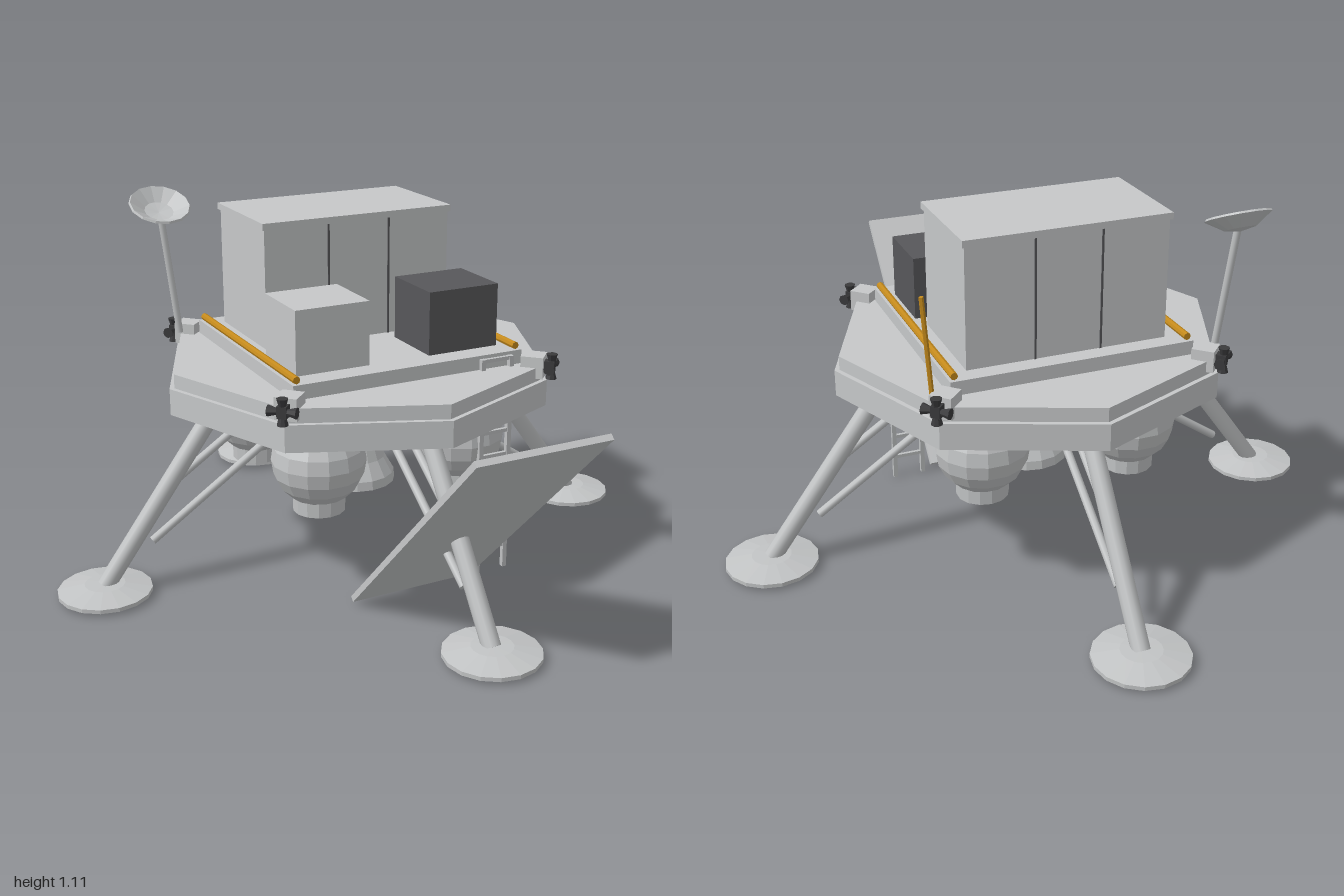
import * as THREE from 'three';

const V = (x, y, z) => new THREE.Vector3(x, y, z);
const mat = (name, color, extra = {}) =>
  new THREE.MeshStandardMaterial({ name, color, ...extra });

export function createModel() {
  const hull = mat('hullGrey', 0xc6c8c9, { flatShading: true });
  const metal = mat('metalGrey', 0xbfc1c2);
  const shell = mat('shellGrey', 0xc2c4c5, { flatShading: true, side: THREE.DoubleSide });
  const dark = mat('darkGrey', 0x57575a, { flatShading: true });
  const black = mat('thrusterBlack', 0x3a3a3c, { flatShading: true, side: THREE.DoubleSide });
  const gold = mat('gold', 0xc48a1c, { flatShading: true });

  const model = new THREE.Group();
  model.name = 'lander';
  const body = new THREE.Group(); // everything centred on the octagonal deck
  body.name = 'body';
  body.position.z = -0.035;
  model.add(body);

  const add = (parent, name, geo, material, x = 0, y = 0, z = 0) => {
    const m = new THREE.Mesh(geo, material);
    m.name = name;
    m.position.set(x, y, z);
    parent.add(m);
    return m;
  };
  // box given by its minimum and maximum on each axis
  const box = (parent, name, material, x0, x1, y0, y1, z0, z1) =>
    add(parent, name, new THREE.BoxGeometry(x1 - x0, y1 - y0, z1 - z0), material,
      (x0 + x1) / 2, (y0 + y1) / 2, (z0 + z1) / 2);
  // round bar between two points
  const bar = (parent, name, material, a, b, r, sides = 10) => {
    const m = add(parent, name, new THREE.CylinderGeometry(r, r, a.distanceTo(b), sides), material);
    m.position.copy(a).add(b).multiplyScalar(0.5);
    m.quaternion.setFromUnitVectors(V(0, 1, 0), b.clone().sub(a).normalize());
    return m;
  };
  const lathe = (pts, sides) =>
    new THREE.LatheGeometry(pts.map(([r, y]) => new THREE.Vector2(r, y)), sides);

  // Deck: two stacked octagons with corners on the axes
  add(body, 'lowerDeck', new THREE.CylinderGeometry(0.6, 0.6, 0.08, 8), hull, 0, 0.57, 0);
  add(body, 'upperDeck', new THREE.CylinderGeometry(0.585, 0.585, 0.045, 8), hull, 0, 0.63, 0);
  box(model, 'cargoPlate', hull, -0.37, 0.37, 0.65, 0.695, -0.4, 0.33);

  // Large container with lid and seams
  box(model, 'container', hull, -0.305, 0.305, 0.69, 1.055, -0.345, -0.005);
  box(model, 'containerLid', hull, -0.312, 0.312, 1.055, 1.075, -0.352, 0.002);
  for (const x of [-0.1, 0.1]) {
    box(model, 'containerSeam', dark, x - 0.003, x + 0.003, 0.695, 1.055, -0.348, -0.344);
    box(model, 'containerSeam', dark, x - 0.003, x + 0.003, 0.695, 1.055, -0.006, -0.002);
  }

  // Small cargo boxes
  box(model, 'lightCargoBox', hull, -0.33, -0.1, 0.69, 0.885, 0.05, 0.26);
  box(model, 'darkCargoBox', dark, 0.095, 0.325, 0.69, 0.885, 0.05, 0.26);

  // Gold rails beside the cargo
  for (const s of [-1, 1])
    bar(model, 'cargoRail', gold, V(s * 0.355, 0.706, -0.39), V(s * 0.355, 0.706, 0.32), 0.011, 8);

  // Four legs, each with a foot pad and two braces in its own plane
  const pad = lathe([[0, 0.01], [0.14, 0.01], [0.14, 0.022], [0.06, 0.038], [0, 0.04]], 16);
  for (let i = 0; i < 4; i++) {
    const leg = new THREE.Group();
    leg.name = 'leg';
    leg.rotation.y = i * Math.PI / 2;
    body.add(leg);
    add(leg, 'footPad', pad, shell, 0.828);
    bar(leg, 'mainStrut', metal, V(0.825, 0.03, 0), V(0.445, 0.55, 0), 0.027, 12);
    bar(leg, 'lowerBrace', metal, V(0.675, 0.143, 0), V(0.25, 0.43, 0), 0.013, 8);
    bar(leg, 'upperBrace', metal, V(0.66, 0.28, 0), V(0.27, 0.54, 0), 0.013, 8);
  }

  // Spherical tanks with open skirts, on the diagonals
  const skirt = lathe([[0.062, 0.325], [0.062, 0.255], [0.078, 0.255], [0.08, 0.325]], 14);
  for (const sx of [-1, 1]) for (const sz of [-1, 1]) {
    const tank = new THREE.Group();
    tank.name = 'tank';
    tank.position.set(sx * 0.235, 0, sz * 0.235);
    body.add(tank);
    const ball = add(tank, 'tankBall', new THREE.SphereGeometry(0.14, 14, 10), shell, 0, 0.41, 0);
    ball.scale.y = 0.97;
    add(tank, 'tankSkirt', skirt, shell);
  }

  // Main engine
  box(body, 'engineMount', hull, -0.12, 0.12, 0.47, 0.535, -0.12, 0.12);
  add(body, 'engineBell', lathe([[0.105, 0.225], [0.127, 0.222], [0.124, 0.25], [0.095, 0.3],
    [0.07, 0.37], [0.055, 0.44], [0.05, 0.48]], 16), shell);
  add(body, 'engineInside', lathe([[0.108, 0.225], [0.08, 0.3], [0, 0.36]], 16), shell);

  // Ramp leaning out from the ground
  const ramp = add(model, 'ramp', new THREE.BoxGeometry(0.4, 0.018, 0.93), hull, 0, 0.346, 0.671);
  ramp.rotation.x = -Math.atan2(0.67, 0.655);

  // Ladder
  const ladder = new THREE.Group();
  ladder.name = 'ladder';
  model.add(ladder);
  for (const x of [0.232, 0.328])
    box(ladder, 'ladderRail', metal, x - 0.007, x + 0.007, 0, 0.685, 0.33, 0.345);
  for (let i = 0; i < 9; i++)
    box(ladder, 'ladderRung', metal, 0.23, 0.33, 0.07 + i * 0.0755, 0.081 + i * 0.0755, 0.332, 0.343);

  // Thruster clusters at the diagonal corners
  const nozzle = new THREE.CylinderGeometry(0.007, 0.017, 0.034, 8);
  for (let i = 0; i < 4; i++) {
    const cluster = new THREE.Group();
    cluster.name = 'thrusterCluster';
    cluster.rotation.y = Math.PI / 4 + i * Math.PI / 2;
    body.add(cluster);
    box(cluster, 'thrusterBlock', hull, 0.525, 0.592, 0.62, 0.685, -0.033, 0.033);
    box(cluster, 'thrusterCore', black, 0.59, 0.622, 0.635, 0.67, -0.014, 0.014);
    for (const s of [-1, 1]) {
      const vertical = add(cluster, 'verticalNozzle', nozzle, black, 0.612, 0.653 + s * 0.021, 0);
      vertical.rotation.x = s > 0 ? Math.PI : 0;
      const side = add(cluster, 'sideNozzle', nozzle, black, 0.612, 0.653, s * 0.025);
      side.rotation.x = -s * Math.PI / 2;
    }
  }

  // Dish antenna on its mast
  bar(model, 'dishMast', metal, V(-0.432, 0.66, -0.41), V(-0.468, 1.03, -0.437), 0.011, 8);
  const dish = add(model, 'dish', lathe([[0, -0.036], [0.045, -0.028], [0.096, 0.006],
    [0.092, 0.012], [0.045, -0.016], [0, -0.022]], 14), shell, -0.472, 1.062, -0.432);
  dish.rotation.x = 0.46;

  // Whip antenna
  bar(model, 'whipAntenna', gold, V(0.425, 0.66, -0.41), V(0.447, 0.96, -0.41), 0.007, 6);

  return model;
}
